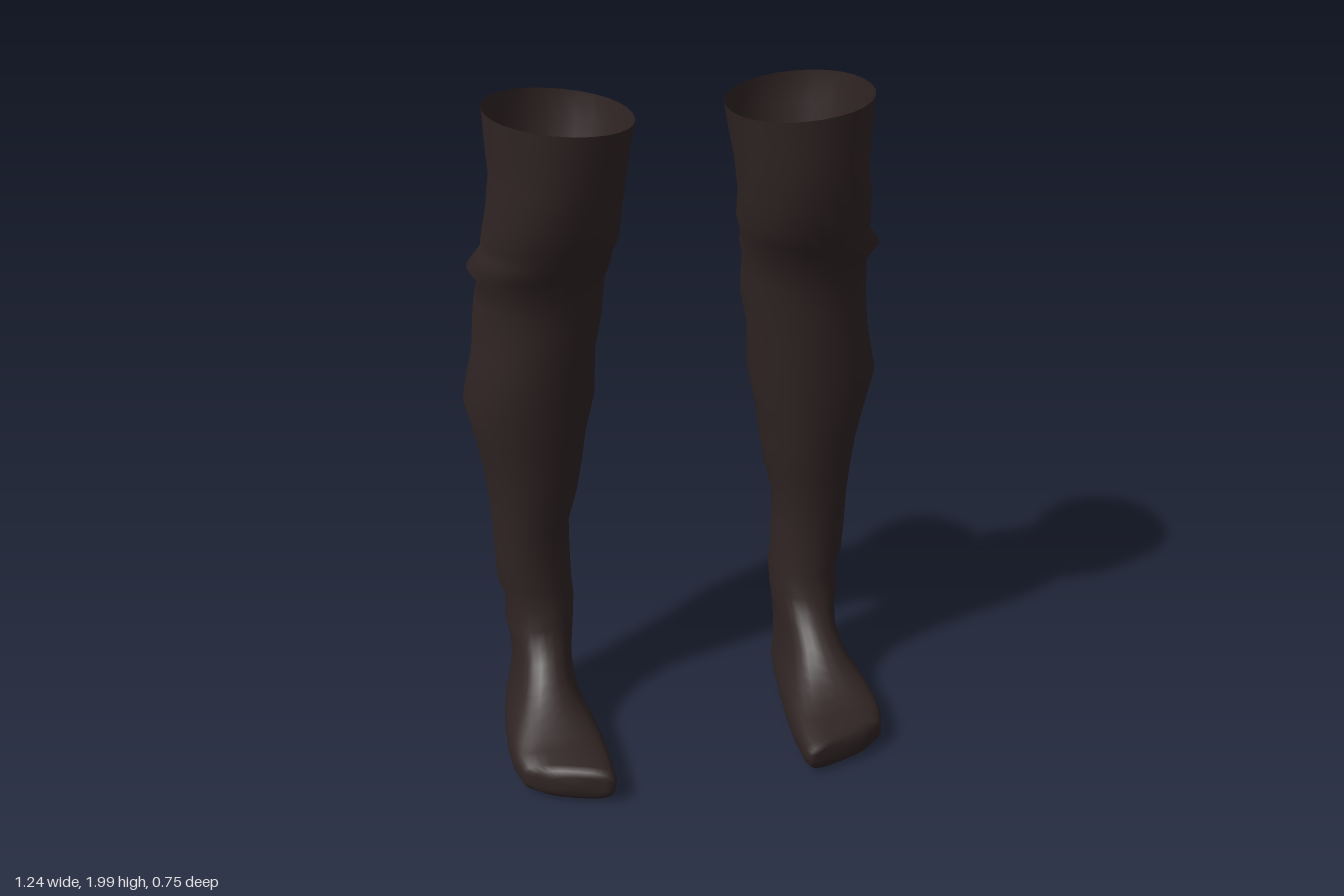
import * as THREE from 'three';

const SIDES = 28;

// Leg rings from the rim down: [y, frontZ, backZ, innerX, outerX]
const LEG = [
  [1.98, 0.165, -0.287, 0.13, 0.54],
  [1.89, 0.158, -0.287, 0.143, 0.535],
  [1.81, 0.15, -0.26, 0.157, 0.53],
  [1.71, 0.133, -0.25, 0.17, 0.542],
  [1.62, 0.1, -0.275, 0.173, 0.555],
  [1.58, 0.08, -0.29, 0.188, 0.557],
  [1.53, 0.055, -0.3, 0.192, 0.595],
  [1.48, 0.035, -0.32, 0.206, 0.565],
  [1.42, 0.02, -0.342, 0.208, 0.574],
  [1.35, 0.013, -0.37, 0.212, 0.58],
  [1.25, 0.008, -0.36, 0.232, 0.588],
  [1.1, -0.008, -0.355, 0.236, 0.62],
  [0.98, -0.023, -0.348, 0.264, 0.592],
  [0.88, -0.038, -0.337, 0.277, 0.572],
  [0.78, -0.052, -0.325, 0.295, 0.56],
  [0.68, -0.067, -0.313, 0.322, 0.552],
  [0.58, -0.076, -0.304, 0.322, 0.55],
  [0.48, -0.076, -0.297, 0.32, 0.543],
  [0.42, -0.072, -0.3, 0.315, 0.522]
];

// Foot rings, turning forward: [topZ, topY, soleZ, soleY, innerX, outerX, squareness, toe slant]
const FOOT = [
  [-0.058, 0.355, -0.3, 0.34, 0.32, 0.528, 2.1, 0],
  [-0.035, 0.31, -0.297, 0.26, 0.328, 0.516, 2.2, 0],
  [0.0, 0.27, -0.308, 0.18, 0.335, 0.513, 2.3, 0],
  [0.04, 0.235, -0.312, 0.1, 0.335, 0.523, 2.4, 0],
  [0.08, 0.208, -0.31, 0.03, 0.327, 0.538, 2.6, 0],
  [0.115, 0.187, -0.22, 0.01, 0.315, 0.555, 2.6, 0],
  [0.155, 0.167, -0.08, 0.008, 0.302, 0.568, 2.7, 0],
  [0.2, 0.148, 0.07, 0.008, 0.29, 0.574, 2.8, 0.05],
  [0.25, 0.133, 0.2, 0.01, 0.285, 0.57, 2.9, 0.15],
  [0.315, 0.124, 0.305, 0.015, 0.286, 0.553, 3, 0.3],
  [0.338, 0.116, 0.335, 0.02, 0.295, 0.52, 2.9, 0.35],
  [0.348, 0.1, 0.347, 0.035, 0.32, 0.48, 2.5, 0.3]
];

function superPower(v, n) {
  return Math.sign(v) * Math.pow(Math.abs(v), 2 / n);
}

// One continuous skin lofted from rim to toe; side is +1 (left) or -1 (right)
function stockingGeometry(side) {
  const rings = [
    ...LEG.map(([y, f, b, i, o]) => [f, y, b, y, i, o, 2.1, 0]),
    ...FOOT
  ];
  const pos = [], index = [];
  rings.forEach(([fz, fy, bz, by, xi, xo, n, slant], r) => {
    for (let s = 0; s < SIDES; s++) {
      const a = (s / SIDES) * Math.PI * 2;
      const u = superPower(Math.cos(a), n), v = superPower(Math.sin(a), n);
      const dx = u * (xo - xi) / 2;
      // The open rim rises toward the outer thigh
      const rise = r === 0 ? dx * 0.095 : 0;
      pos.push(
        side * ((xi + xo) / 2 + dx),
        (fy + by) / 2 + v * (fy - by) / 2 + rise,
        (fz + bz) / 2 + v * (fz - bz) / 2 - dx * slant
      );
    }
  });
  const tri = (a, b, c) => (side > 0 ? index.push(a, b, c) : index.push(a, c, b));
  for (let r = 0; r < rings.length - 1; r++) {
    for (let s = 0; s < SIDES; s++) {
      const t = (s + 1) % SIDES, p = r * SIDES, q = p + SIDES;
      tri(p + s, p + t, q + s);
      tri(p + t, q + t, q + s);
    }
  }
  // Toe cap
  const last = (rings.length - 1) * SIDES, tip = rings.length * SIDES;
  pos.push(side * 0.395, 0.068, 0.353);
  for (let s = 0; s < SIDES; s++) tri(last + s, last + (s + 1) % SIDES, tip);

  const geo = new THREE.BufferGeometry();
  geo.setAttribute('position', new THREE.Float32BufferAttribute(pos, 3));
  geo.setIndex(index);
  geo.computeVertexNormals();
  return geo;
}

export function createModel() {
  const group = new THREE.Group();
  group.name = 'stockings';
  const cloth = new THREE.MeshStandardMaterial({ color: 0x302424, side: THREE.DoubleSide });
  cloth.name = 'dark brown cloth';
  for (const side of [1, -1]) {
    const mesh = new THREE.Mesh(stockingGeometry(side), cloth);
    mesh.name = side > 0 ? 'leftStocking' : 'rightStocking';
    group.add(mesh);
  }
  return group;
}
